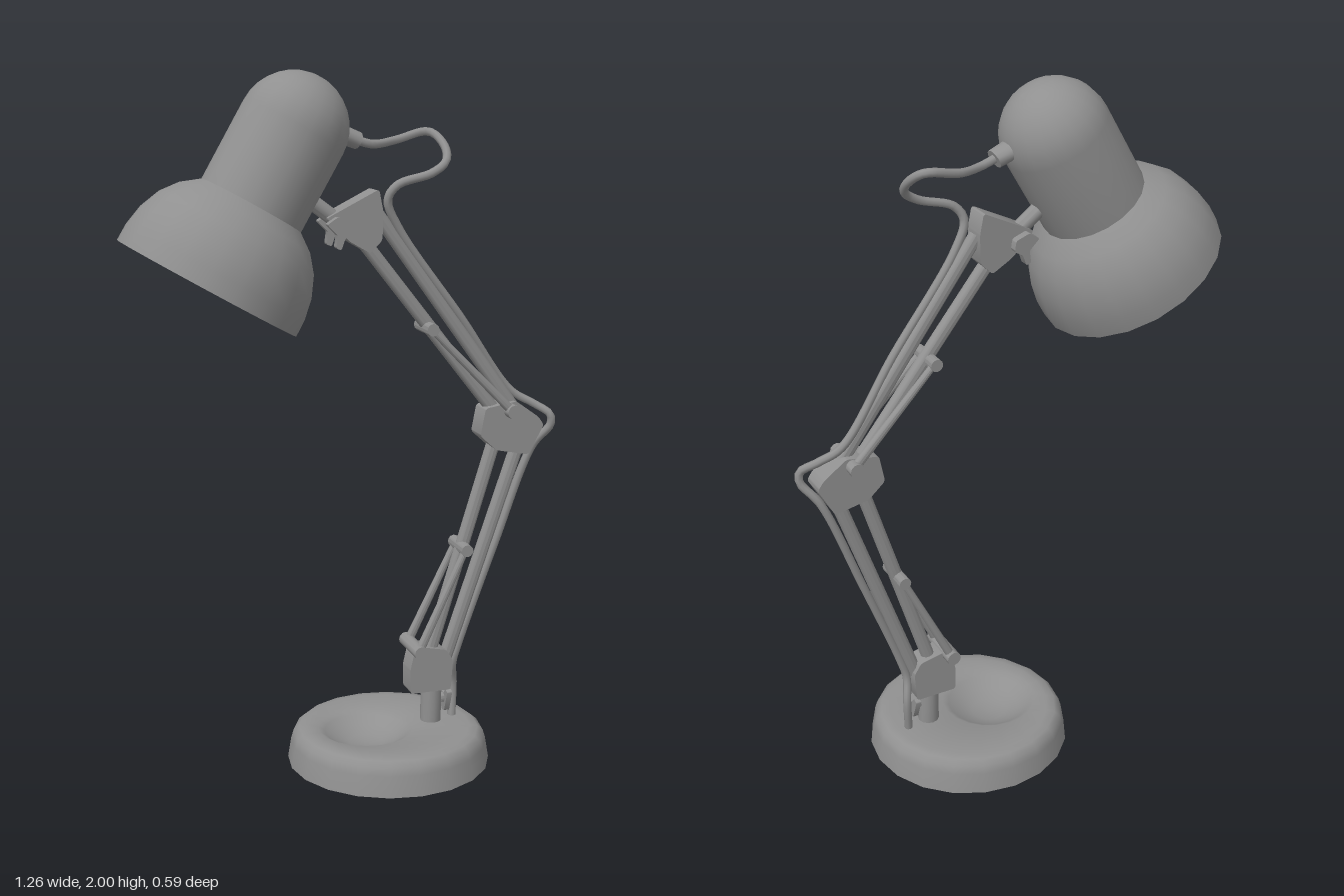
import * as THREE from 'three';
import { toCreasedNormals } from 'three/addons/utils/BufferGeometryUtils.js';

const material = new THREE.MeshStandardMaterial({ color: 0x909090, side: THREE.DoubleSide });
const V = (x, y, z = 0) => new THREE.Vector3(x, y, z);

function add(parent, name, geometry) {
  const mesh = new THREE.Mesh(geometry, material);
  mesh.name = name;
  parent.add(mesh);
  return mesh;
}

// Round bar between two points
function rod(parent, name, a, b, r, r2 = r) {
  const geo = new THREE.CylinderGeometry(r2, r, a.distanceTo(b), 12);
  const mesh = add(parent, name, toCreasedNormals(geo, 0.7));
  mesh.position.copy(a).add(b).multiplyScalar(0.5);
  mesh.quaternion.setFromUnitVectors(V(0, 1), b.clone().sub(a).normalize());
  return mesh;
}

// Pin running front to back
const pin = (parent, name, x, y, half, r) => rod(parent, name, V(x, y, -half), V(x, y, half), r);

// Plate with rounded corners, centred on z = 0
function plate(parent, name, corners, depth, radius = 0.01) {
  const pts = corners.map(([x, y]) => new THREE.Vector2(x, y));
  const shape = new THREE.Shape();
  pts.forEach((p, i) => {
    const prev = pts[(i + pts.length - 1) % pts.length];
    const next = pts[(i + 1) % pts.length];
    const a = p.clone().add(prev.clone().sub(p).setLength(radius));
    const b = p.clone().add(next.clone().sub(p).setLength(radius));
    if (i) shape.lineTo(a.x, a.y); else shape.moveTo(a.x, a.y);
    shape.quadraticCurveTo(p.x, p.y, b.x, b.y);
  });
  const geo = new THREE.ExtrudeGeometry(shape, { depth, bevelEnabled: false, curveSegments: 4 });
  geo.translate(0, 0, -depth / 2);
  return add(parent, name, toCreasedNormals(geo, 0.7));
}

function lathe(profile, segments) {
  return new THREE.LatheGeometry(profile.map(([r, y]) => new THREE.Vector2(r, y)), segments);
}

function createBase(root) {
  // Round foot whose shallow tray is shifted away from the post
  const geo = lathe([[0, 0], [0.297, 0], [0.287, 0.06], [0.28, 0.083], [0.264, 0.097], [0.24, 0.1],
    [0.14, 0.1], [0.122, 0.09], [0.09, 0.069], [0.05, 0.055], [0, 0.051]], 20);
  const pos = geo.attributes.position;
  for (let i = 0; i < pos.count; i++) {
    const r = Math.hypot(pos.getX(i), pos.getZ(i));
    if (pos.getY(i) > 0.04) {
      pos.setX(i, pos.getX(i) - 0.07 * THREE.MathUtils.clamp((0.24 - r) / 0.1, 0, 1));
    }
  }
  add(root, 'base', toCreasedNormals(geo, 0.75)).position.x = 0.132;
  rod(root, 'post', V(0.265, 0.09), V(0.265, 0.22), 0.031);

  // Clamp screw beside the post, with a flat wing on its end
  rod(root, 'postScrew', V(0.28, 0.165), V(0.318, 0.165), 0.014);
  const wing = plate(root, 'postScrewWing', [[-0.01, 0.125], [0.01, 0.125], [0.035, 0.19], [0.02, 0.198],
    [0, 0.175], [-0.02, 0.198], [-0.035, 0.19]], 0.016, 0.006);
  wing.position.x = 0.312;
  wing.rotation.y = Math.PI / 2;
}

// Arm section: two parallel bars, a pair of springs and their pins
function createArm(root, name, bars, springStart, springEnd) {
  const arm = new THREE.Group();
  arm.name = name;
  root.add(arm);
  bars.forEach(([a, b]) => rod(arm, 'armBar', a, b, 0.02));
  for (const s of [-1, 1]) {
    rod(arm, 'spring', springStart.clone().setZ(s * 0.048), springEnd.clone().setZ(s * 0.042), 0.013, 0.01);
  }
  pin(arm, 'springJointPin', springStart.x, springStart.y, 0.07, 0.021);
  pin(arm, 'springBarPin', springEnd.x, springEnd.y, 0.057, 0.018);
}

function createBrackets(root) {
  plate(root, 'lowerBracket', [[0.19, 0.2], [0.315, 0.2], [0.322, 0.29], [0.3, 0.325], [0.205, 0.345], [0.188, 0.27]], 0.066);
  plate(root, 'elbowBracket', [[0.395, 0.965], [0.445, 0.92], [0.545, 0.9], [0.592, 0.985], [0.575, 1.01],
    [0.505, 1.06], [0.41, 1.045]], 0.074);
  plate(root, 'upperBracket', [[-0.065, 1.605], [0.085, 1.68], [0.097, 1.62], [0.095, 1.54], [0.06, 1.505], [0, 1.54]], 0.07);

  // Head pivot with a wing nut on each side
  pin(root, 'headPivot', -0.03, 1.585, 0.05, 0.016);
  for (const s of [-1, 1]) {
    const nut = plate(root, 'wingNut', [[-0.07, 1.59], [-0.04, 1.61], [0, 1.595], [0.005, 1.565], [-0.02, 1.55],
      [-0.03, 1.52], [-0.045, 1.525], [-0.04, 1.56]], 0.025, 0.006);
    nut.position.z = s * 0.045;
  }
  rod(root, 'headNeck', V(-0.14, 1.68), V(-0.02, 1.59), 0.022);
}

function createShade(root) {
  const head = new THREE.Group();
  head.name = 'lampHead';
  head.position.set(-0.394, 1.424, 0);
  head.rotation.z = -Math.PI / 6;
  root.add(head);

  // Bell and domed housing share one profile, inner wall first
  const outer = [[0.274, 0], [0.273, 0.05], [0.262, 0.11], [0.237, 0.17], [0.2, 0.217], [0.152, 0.253], [0.152, 0.492]];
  const inner = outer.map(([r, y]) => [r - 0.012, y]).reverse();
  const dome = r => Array.from({ length: 8 }, (_, i) => {
    const a = (i + 1) / 8 * Math.PI / 2;
    return [r * Math.cos(a), 0.492 + r * Math.sin(a)];
  });
  const geo = lathe([...dome(0.14).reverse(), ...inner, ...outer, ...dome(0.152)], 20);
  add(head, 'shade', toCreasedNormals(geo, 0.6));

  // Flattened socket where the cable enters
  const socket = rod(root, 'cableSocket', V(-0.03, 1.835), V(0.035, 1.81), 0.027, 0.024);
  socket.scale.z = 1.4;
}

function createCable(root) {
  const path = new THREE.CatmullRomCurve3([
    V(0.01, 1.82), V(0.075, 1.8, -0.005), V(0.16, 1.807, -0.045), V(0.25, 1.828, -0.058), V(0.272, 1.822, -0.045),
    V(0.29, 1.785, 0), V(0.28, 1.75, 0.03), V(0.235, 1.72, 0.04), V(0.14, 1.69, 0.03), V(0.115, 1.65, 0.02),
    V(0.15, 1.57, 0.01), V(0.34, 1.31, 0.005), V(0.505, 1.085, -0.01), V(0.57, 1.045, 0.01), V(0.612, 1.015, 0.035),
    V(0.615, 0.985, 0.033), V(0.57, 0.92, 0.008), V(0.46, 0.63, 0), V(0.35, 0.33, 0), V(0.335, 0.27, -0.005),
    V(0.345, 0.2, -0.025), V(0.338, 0.09, -0.015),
  ], false, 'centripetal');
  add(root, 'cable', new THREE.TubeGeometry(path, 150, 0.012, 8));
}

export function createModel() {
  const root = new THREE.Group();
  root.name = 'deskLamp';
  createBase(root);
  createArm(root, 'lowerArm', [
    [V(0.255, 0.3), V(0.455, 0.95)],
    [V(0.305, 0.28), V(0.535, 0.95)],
  ], V(0.21, 0.335), V(0.353, 0.63));
  createArm(root, 'upperArm', [
    [V(0.05, 1.535), V(0.45, 1.03)],
    [V(0.09, 1.61), V(0.505, 1.04)],
  ], V(0.487, 1.035), V(0.24, 1.285));
  createBrackets(root);
  createShade(root);
  createCable(root);
  return root;
}
